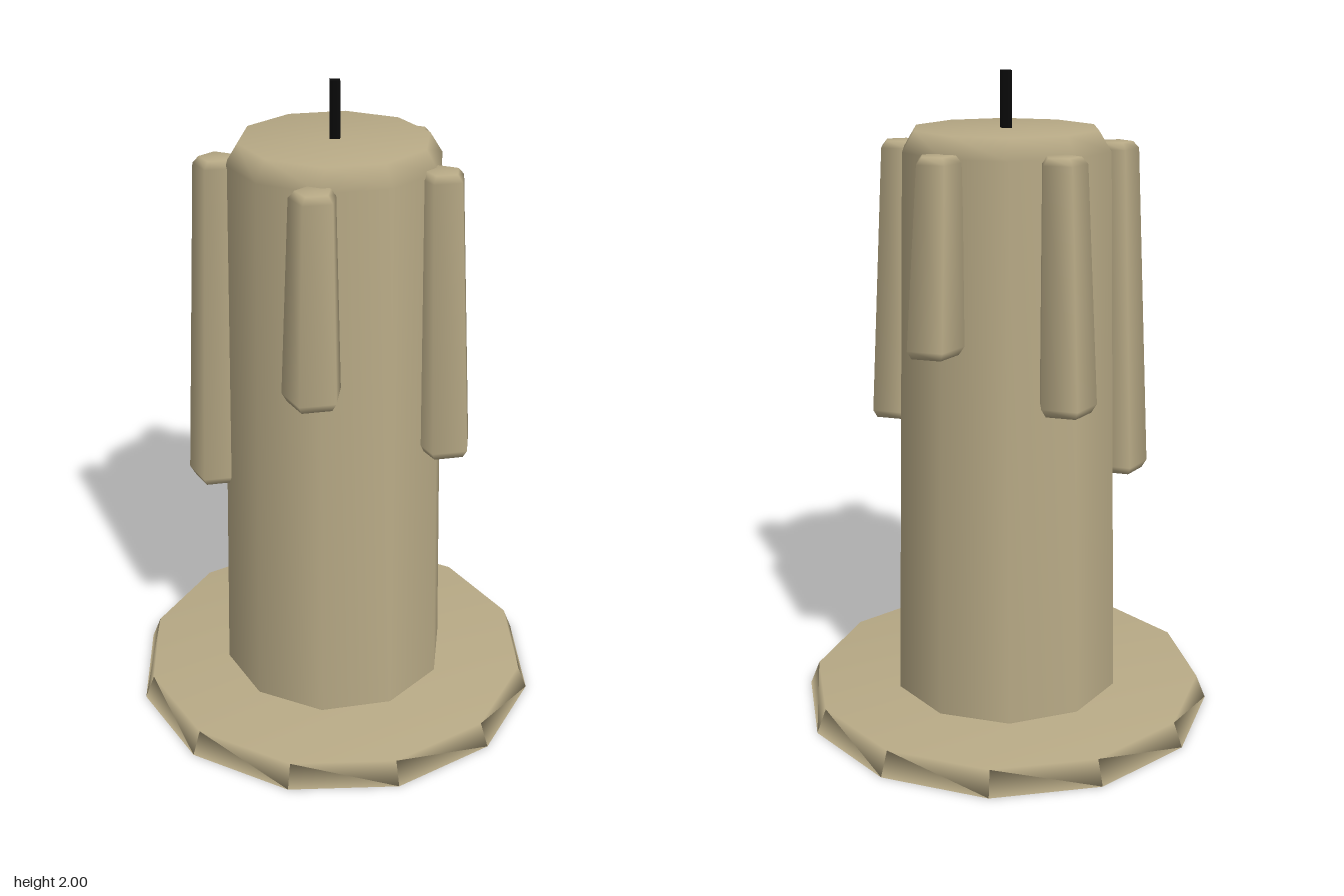
import * as THREE from 'three';

const wax = new THREE.MeshStandardMaterial({ color: 0xb8aa86 });
wax.name = 'wax';
const black = new THREE.MeshStandardMaterial({ color: 0x0a0a0a });
black.name = 'wickBlack';

// Low-poly solid of revolution from [radius, height] pairs, bottom to top
function turned(points, sides, start = 0) {
  return new THREE.LatheGeometry(points.map(([r, y]) => new THREE.Vector2(r, y)), sides, start);
}

// Pentagonal wax run: thicker at the bottom and leaning away from the candle
function dripGeometry(angle, bottom, top) {
  const geo = turned([
    [0, bottom], [0.074, bottom], [0.09, bottom + 0.025],
    [0.07, top - 0.02], [0.052, top], [0, top],
  ], 5);
  const pos = geo.attributes.position;
  for (let i = 0; i < pos.count; i++) {
    const t = (pos.getY(i) - bottom) / (top - bottom);
    const out = THREE.MathUtils.lerp(0.37, 0.337, t);
    pos.setX(i, pos.getX(i) + Math.cos(angle) * out);
    pos.setZ(i, pos.getZ(i) + Math.sin(angle) * out);
  }
  return geo;
}

export function createModel() {
  const candle = new THREE.Group();
  candle.name = 'candle';
  const add = (name, geometry, material) => {
    const mesh = new THREE.Mesh(geometry, material);
    mesh.name = name;
    candle.add(mesh);
    return mesh;
  };

  // Pool of wax at the foot
  add('base', turned([[0, 0], [0.652, 0], [0.622, 0.075], [0, 0.078]], 12), wax);

  // Ten-sided tapering body with a bevelled top
  add('body', turned([
    [0, 0.01], [0.36, 0.01], [0.36, 0.08], [0.318, 1.775], [0.28, 1.835], [0, 1.835],
  ], 10, Math.PI / 2), wax);

  // Wax runs: angle from +x towards +z in degrees, and lower end
  const drips = [[0, 1.225], [75, 0.92], [147, 1.175], [223, 0.75], [298, 1.06]];
  drips.forEach(([degrees, bottom], i) => {
    add('drip' + (i + 1), dripGeometry(THREE.MathUtils.degToRad(degrees), bottom, 1.787), wax);
  });

  // Four-sided wick
  const wick = add('wick', new THREE.CylinderGeometry(0.021, 0.021, 0.19, 4), black);
  wick.position.y = 1.905;

  return candle;
}
